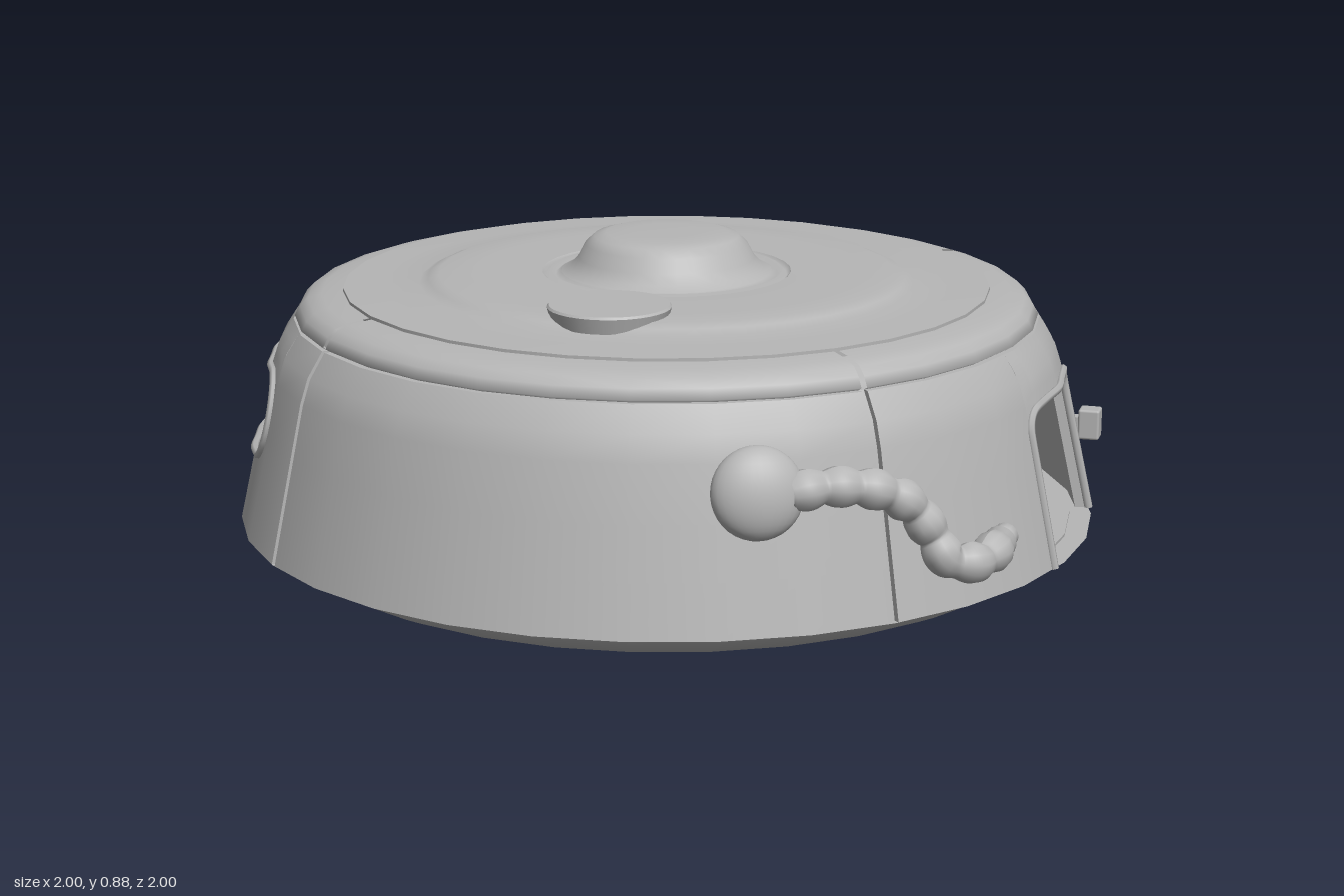
import * as THREE from 'three';
import { mergeGeometries } from 'three/addons/utils/BufferGeometryUtils.js';
import { RoundedBoxGeometry } from 'three/addons/geometries/RoundedBoxGeometry.js';

const SIDES = 32, STEP = Math.PI * 2 / SIDES, GAP = 0.008, THICK = 0.03;
const WALL = [[1.0, 0.22], [0.92, 0.58], [0.9, 0.64], [0.865, 0.693]];

const grey = new THREE.MeshStandardMaterial({ color: 0xb6b6b6, side: THREE.DoubleSide });
grey.name = 'light grey';

function mesh(parent, name, geometry, x = 0, y = 0, z = 0) {
  const m = new THREE.Mesh(geometry, grey);
  m.name = name;
  m.position.set(x, y, z);
  parent.add(m);
  return m;
}

function lathe(parent, name, points, sides = SIDES, start = 0, length = Math.PI * 2) {
  const profile = points.map(([r, y]) => new THREE.Vector2(r, y));
  return mesh(parent, name, new THREE.LatheGeometry(profile, sides, start, length));
}

// Wall radius at a height, and the faceted surface point at an angle
function wallRadius(y) {
  for (let i = 1; i < WALL.length; i++) {
    const [r0, y0] = WALL[i - 1], [r1, y1] = WALL[i];
    if (y <= y1 || i === WALL.length - 1) return r0 + (r1 - r0) * (y - y0) / (y1 - y0);
  }
}
function onWall(angle, y, offset = 0) {
  const local = ((angle % STEP) + STEP) % STEP - STEP / 2;
  const r = (wallRadius(y) + offset) * Math.cos(STEP / 2) / Math.cos(local);
  return new THREE.Vector3(r * Math.sin(angle), y, r * Math.cos(angle));
}

// Grid of points; round sheets get normals that follow the circle
function sheet(us, vs, pointAt, round) {
  const pos = [], index = [], n = vs.length;
  us.forEach((u, i) => vs.forEach((v, j) => {
    pos.push(...pointAt(u, v).toArray());
    if (i && j) {
      const a = (i - 1) * n + j - 1, b = a + n;
      index.push(a, b, b + 1, a, b + 1, a + 1);
    }
  }));
  const g = new THREE.BufferGeometry();
  g.setAttribute('position', new THREE.Float32BufferAttribute(pos, 3));
  g.setIndex(index);
  g.computeVertexNormals();
  if (round) {
    const nor = g.attributes.normal;
    us.forEach((u, i) => vs.forEach((v, j) => {
      const k = i * n + j, h = Math.hypot(nor.getX(k), nor.getZ(k));
      const s = Math.sign(nor.getX(k) * Math.sin(u) + nor.getZ(k) * Math.cos(u)) || 1;
      nor.setXYZ(k, s * h * Math.sin(u), nor.getY(k), s * h * Math.cos(u));
    }));
  }
  return g;
}

// Thick curved strip of wall between two heights that may vary with angle
function strip(a0, a1, lo, hi, extra = [], out = 0, thick = THICK) {
  const angles = [a0, a1, ...extra];
  for (let k = Math.ceil(a0 / STEP); k * STEP < a1; k++) angles.push(k * STEP);
  const us = [...new Set(angles)].filter(a => a >= a0 && a <= a1).sort((p, q) => p - q);
  const vs = [0, 0.25, 0.5, 0.76, 0.88, 1], ends = [0, 1];
  const at = (u, v, o) => onWall(u, lo(u) + (hi(u) - lo(u)) * v, o);
  const parts = [
    sheet(us, vs, (u, v) => at(u, v, out), true),
    sheet([...us].reverse(), vs, (u, v) => at(u, v, out - thick), true),
    ...ends.map(v => sheet(us, ends, (u, t) => at(u, v, out - thick * t))),
    ...[a0, a1].map(u => sheet(ends, vs, (t, v) => at(u, v, out - thick * t)))
  ];
  return mergeGeometries(parts);
}

const BOTTOM = () => 0.22, TOP = () => 0.693;

// Quarter wall panel with an optional rounded opening and its frame
function wallPanel(parent, name, centre, opening) {
  const a0 = centre - Math.PI / 4 + GAP, a1 = centre + Math.PI / 4 - GAP;
  if (!opening) return mesh(parent, name, strip(a0, a1, BOTTOM, TOP));
  const { half, low, high, radius, openBottom } = opening;
  const corner = radius / 0.93;
  const bend = a => {
    const t = Math.min(1, Math.max(0, (Math.abs(a - centre) - half + corner) / corner));
    return radius * (1 - Math.sqrt(1 - t * t));
  };
  const hi = a => high - bend(a), lo = a => openBottom ? low : low + bend(a);
  const o0 = centre - half, o1 = centre + half, cols = [];
  for (let i = 0; i <= 8; i++) {
    const d = half - corner * (1 - Math.sin(i / 8 * Math.PI / 2));
    cols.push(centre - d, centre + d);
  }
  const pieces = [strip(a0, o0, BOTTOM, TOP), strip(o1, a1, BOTTOM, TOP), strip(o0, o1, hi, TOP, cols)];
  if (!openBottom) pieces.push(strip(o0, o1, BOTTOM, lo, cols));
  mesh(parent, name, mergeGeometries(pieces));
  // Frame bead following the opening
  const path = [], us = [...cols, centre];
  for (let k = -4; k <= 4; k++) if (Math.abs(k * 0.1) < half - corner) us.push(centre + k * 0.1);
  const sorted = [...new Set(us)].sort((p, q) => p - q);
  if (openBottom) for (let i = 0; i < 5; i++) path.push(onWall(o0, low + (high - radius - low) * i / 5, 0.002));
  sorted.forEach(a => path.push(onWall(a, hi(a), 0.002)));
  if (openBottom) for (let i = 4; i >= 0; i--) path.push(onWall(o1, low + (high - radius - low) * i / 5, 0.002));
  else sorted.slice(1, -1).reverse().forEach(a => path.push(onWall(a, lo(a), 0.002)));
  const curve = new THREE.CatmullRomCurve3(path, !openBottom);
  mesh(parent, name + 'Frame', new THREE.TubeGeometry(curve, 120, 0.01, 6, !openBottom));
}

// Group standing on the sloped wall, its z axis pointing outward
function mount(parent, name, angle, y, offset = 0) {
  const g = new THREE.Group();
  g.name = name;
  g.position.copy(onWall(angle, y, offset));
  g.rotation.set(-0.2, angle, 0, 'YXZ');
  parent.add(g);
  return g;
}

export function createModel() {
  const model = new THREE.Group();
  model.name = 'roundPod';

  // Walls, seam backings and shoulders
  wallPanel(model, 'frontWall', 0);
  wallPanel(model, 'doorWall', Math.PI / 2, { half: 0.248, low: 0.22, high: 0.57, radius: 0.055, openBottom: true });
  wallPanel(model, 'backWall', Math.PI);
  wallPanel(model, 'windowWall', Math.PI * 1.5, { half: 0.56, low: 0.39, high: 0.585, radius: 0.097 });
  for (let i = 0; i < 4; i++) {
    const seam = Math.PI / 4 + i * Math.PI / 2;
    mesh(model, 'seamBacking', strip(seam - 0.03, seam + 0.03, BOTTOM, TOP, [], -0.015, 0.01));
    lathe(model, 'shoulder', [[0.845, 0.69], [0.862, 0.7], [0.85, 0.722], [0.832, 0.74], [0.8, 0.75], [0.75, 0.755]],
      8, seam + GAP, Math.PI / 2 - GAP * 2);
  }
  lathe(model, 'shoulderLiner', [[0.85, 0.67], [0.845, 0.705], [0.82, 0.73], [0.74, 0.742]]);

  // Lid with raised plateau, ringed collar and dome
  lathe(model, 'lidEdge', [[0.75, 0.74], [0.75, 0.762]]);
  lathe(model, 'lid', [[0.75, 0.762], [0.66, 0.765], [0.575, 0.767], [0.555, 0.778], [0.53, 0.787], [0.45, 0.789], [0.29, 0.788]]);
  lathe(model, 'collar', [[0.29, 0.788], [0.28, 0.779], [0.27, 0.79], [0.258, 0.78], [0.245, 0.788]]);
  lathe(model, 'dome', [[0.245, 0.788], [0.225, 0.798], [0.205, 0.82], [0.188, 0.852], [0.168, 0.87], [0.14, 0.878], [0.08, 0.88], [0, 0.88]]);

  // Round hatch on the lid
  mesh(model, 'hatchSide', new THREE.CylinderGeometry(0.138, 0.125, 0.045, 32), 0, 0.779, 0.45);
  mesh(model, 'hatchCap', new THREE.CylinderGeometry(0.134, 0.138, 0.005, 32), 0, 0.804, 0.45);

  // Floor and stepped underside
  mesh(model, 'floor', new THREE.CylinderGeometry(0.95, 0.95, 0.006, SIDES), 0, 0.223, 0);
  lathe(model, 'rimUnderside', [[0.945, 0.22], [1.0, 0.22]]);
  lathe(model, 'pan', [[0.58, 0.14], [0.82, 0.14], [0.855, 0.147], [0.9, 0.168], [0.93, 0.192], [0.945, 0.22]]);
  lathe(model, 'lowerBulge', [[0.35, 0.08], [0.47, 0.08], [0.52, 0.087], [0.56, 0.11], [0.58, 0.14]]);
  lathe(model, 'recessWall', [[0.31, 0.13], [0.32, 0.1], [0.35, 0.08]]);
  lathe(model, 'recessStep', [[0.24, 0.13], [0.31, 0.13]]);
  lathe(model, 'recessRoof', [[0, 0.175], [0.2, 0.17], [0.225, 0.155], [0.24, 0.13]]);

  // Hollow threaded port with prongs
  lathe(model, 'port', [[0, 0.06], [0.105, 0.055], [0.115, 0.02], [0.132, 0.018], [0.136, 0.03], [0.138, 0.042],
    [0.126, 0.046], [0.126, 0.052], [0.142, 0.055], [0.142, 0.07], [0.122, 0.075], [0.122, 0.175]]);
  for (let i = 0; i < 4; i++) {
    const a = Math.PI / 4 + i * Math.PI / 2;
    const x = Math.sin(a) * 0.03, z = Math.cos(a) * 0.03;
    mesh(model, 'prong', new THREE.CylinderGeometry(0.009, 0.009, 0.06, 8), x, 0.033, z);
    mesh(model, 'prongTip', new THREE.SphereGeometry(0.011, 8, 6), x, 0.011, z);
    mesh(model, 'portBrace', new THREE.BoxGeometry(0.01, 0.014, 0.08), x * 2, 0.05, z * 2).rotation.y = a;
  }

  // Vent with fan on the back
  const vent = mount(model, 'vent', 2.64, 0.43, 0.01);
  mesh(vent, 'ventPlate', new RoundedBoxGeometry(0.25, 0.24, 0.05, 3, 0.02));
  mesh(vent, 'fanRing', new THREE.TorusGeometry(0.094, 0.009, 8, 28), 0, 0, 0.027);
  mesh(vent, 'innerRing', new THREE.TorusGeometry(0.062, 0.005, 6, 24), 0, 0, 0.03);
  mesh(vent, 'fanHub', new THREE.CylinderGeometry(0.026, 0.03, 0.02, 16), 0, 0, 0.03).rotation.x = Math.PI / 2;
  for (let i = 0; i < 10; i++) {
    const a = i * Math.PI / 5;
    const blade = mesh(vent, 'fanBlade', new THREE.BoxGeometry(0.07, 0.014, 0.008), Math.cos(a) * 0.058, Math.sin(a) * 0.058, 0.029);
    blade.rotation.set(0.4, 0, a, 'ZYX');
  }

  // Door control and wall knobs
  mesh(model, 'doorControl', new RoundedBoxGeometry(0.05, 0.072, 0.05, 2, 0.006), 0.96, 0.42, -0.268);
  mesh(model, 'doorControlArm', new THREE.BoxGeometry(0.06, 0.03, 0.03), 0.92, 0.42, -0.268);
  for (const [z, r] of [[-0.335, 0.03], [-0.215, 0.022]]) {
    const knob = mount(model, 'knob', Math.atan2(-0.95, z), 0.26);
    mesh(knob, 'knobStem', new THREE.CylinderGeometry(r, r, 0.03, 16)).rotation.x = Math.PI / 2;
    mesh(knob, 'knobCap', new THREE.SphereGeometry(r * 0.9, 16, 10), 0, 0, 0.01).scale.z = 0.6;
  }

  // Hose with a flattened round head, ribbed tube and nozzle
  const head = mount(model, 'hoseHead', Math.atan2(0.44, 0.84), 0.52, 0.015);
  mesh(head, 'headPad', new THREE.SphereGeometry(0.1, 28, 18)).scale.z = 0.55;
  const bends = [[0.5, 0.52, 0.82], [0.57, 0.525, 0.77], [0.66, 0.51, 0.71], [0.72, 0.47, 0.66], [0.765, 0.4, 0.63],
    [0.8, 0.345, 0.625], [0.85, 0.33, 0.585], [0.875, 0.336, 0.525], [0.882, 0.343, 0.485]];
  const hosePath = new THREE.CatmullRomCurve3(bends.map(p => new THREE.Vector3(...p)));
  const hose = new THREE.TubeGeometry(hosePath, 110, 0.034, 12);
  const p = hose.attributes.position, n = hose.attributes.normal;
  for (let i = 0; i < p.count; i++) {
    const t = Math.floor(i / 13) / 110, swell = 0.011 * Math.abs(Math.sin(t * Math.PI * 8));
    p.setXYZ(i, p.getX(i) + n.getX(i) * swell, p.getY(i) + n.getY(i) * swell, p.getZ(i) + n.getZ(i) * swell);
  }
  hose.computeVertexNormals();
  mesh(model, 'hose', hose);
  const nozzle = lathe(model, 'nozzle', [[0, -0.01], [0.036, -0.01], [0.036, 0.015], [0.024, 0.022], [0.028, 0.03], [0.028, 0.048], [0.018, 0.055], [0, 0.055]], 16);
  nozzle.position.set(0.882, 0.343, 0.485);
  nozzle.quaternion.setFromUnitVectors(new THREE.Vector3(0, 1, 0), hosePath.getTangent(1));
  return model;
}
